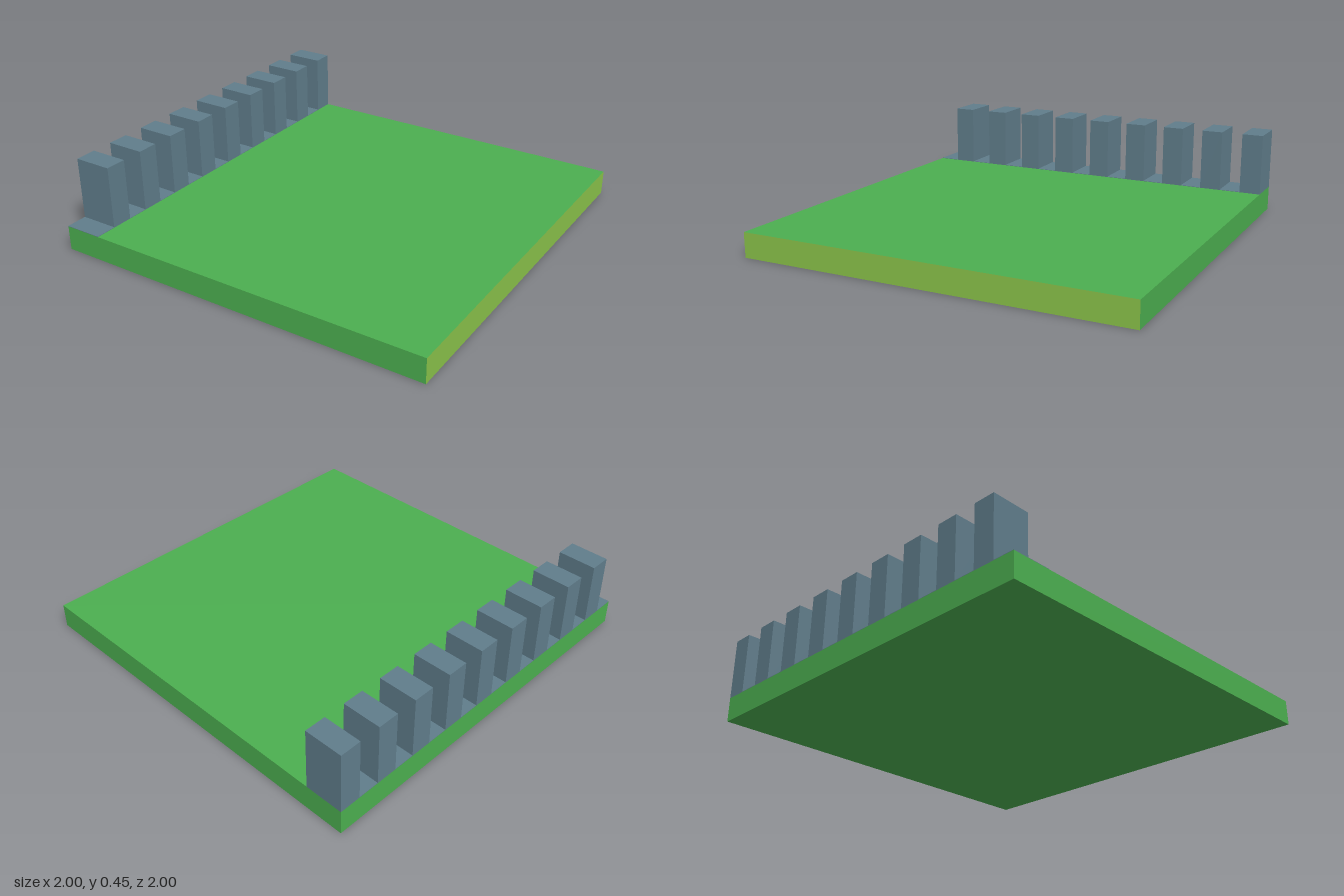
import * as THREE from 'three';

const BASE_H = 0.128, TOP = 0.45, WALL_W = 0.2, COUNT = 9;

export function createModel() {
  const mat = (name, color) => {
    const m = new THREE.MeshStandardMaterial({ color });
    m.name = name;
    return m;
  };
  const grass = mat('grass green', 0x4caf50);
  const lime = mat('lime edge', 0x8bc34a);
  const stone = mat('blue grey stone', 0x607d8b);

  const model = new THREE.Group();
  model.name = 'wallTile';
  const box = (name, w, h, d, x, y, z, material) => {
    const mesh = new THREE.Mesh(new THREE.BoxGeometry(w, h, d), material);
    mesh.name = name;
    mesh.position.set(x, y + h / 2, z);
    model.add(mesh);
  };

  // square ground slab, with the +x side in lime
  box('groundSlab', 2, BASE_H, 2, 0, 0, 0, [lime, grass, grass, grass, grass, grass]);

  // thin stone strip along the -x edge
  const x = -1 + WALL_W / 2;
  box('wallStrip', WALL_W, 0.002, 2, x, BASE_H, 0, stone);

  // evenly spaced battlements, starting flush with the back edge
  const depth = 1 / COUNT;
  for (let i = 0; i < COUNT; i++) {
    const z = -1 + depth * (2 * i + 0.5);
    box('battlement' + (i + 1), WALL_W, TOP - BASE_H, depth, x, BASE_H, z, stone);
  }
  return model;
}
